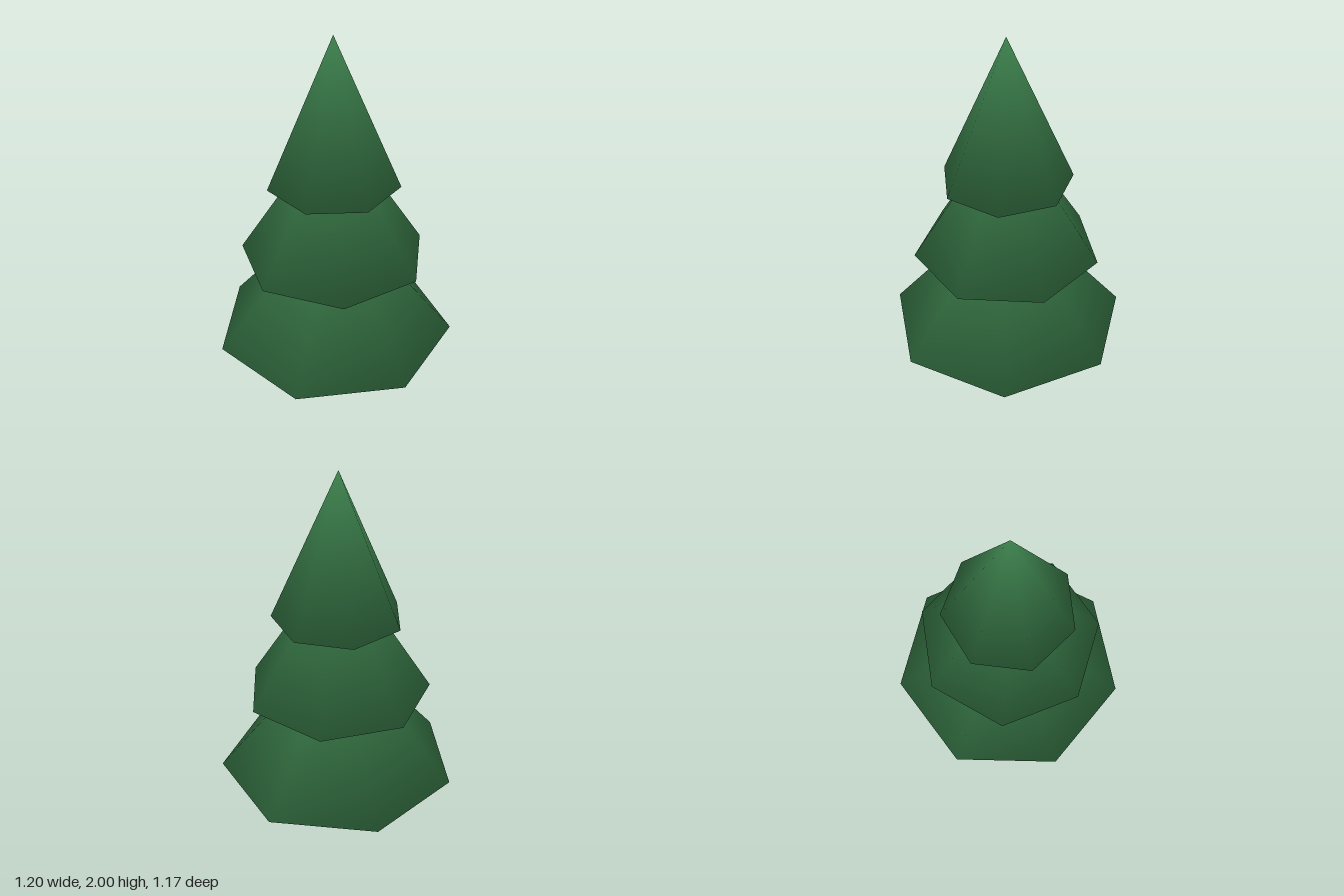
import * as THREE from 'three';
import { mergeVertices } from 'three/addons/utils/BufferGeometryUtils.js';

// Weld a closed solid and give every corner the plain average of its face normals
function softened(geometry) {
  geometry.deleteAttribute('uv');
  geometry.deleteAttribute('normal');
  const g = mergeVertices(geometry, 1e-4);
  g.clearGroups();
  const pos = g.attributes.position;
  const sums = Array.from({ length: pos.count }, () => new THREE.Vector3());
  const tri = new THREE.Triangle();
  const n = new THREE.Vector3();
  for (let i = 0; i < g.index.count; i += 3) {
    const ids = [0, 1, 2].map((k) => g.index.getX(i + k));
    tri.setFromAttributeAndIndices(pos, ...ids);
    tri.getNormal(n);
    ids.forEach((id) => sums[id].add(n));
  }
  const normals = sums.flatMap((v) => v.normalize().toArray());
  g.setAttribute('normal', new THREE.Float32BufferAttribute(normals, 3));
  return g;
}

export function createModel() {
  const tree = new THREE.Group();
  tree.name = 'pineTree';
  const needleGreen = new THREE.MeshStandardMaterial({ name: 'needleGreen', color: 0x3a7d4a });
  const barkBrown = new THREE.MeshStandardMaterial({ name: 'barkBrown', color: 0x8b5a2f });
  const axisZ = 0.03;

  function add(name, geometry, material, y) {
    const mesh = new THREE.Mesh(softened(geometry), material);
    mesh.name = name;
    mesh.position.set(0, y, axisZ);
    tree.add(mesh);
  }

  // Trunk, running a little way into the lowest tier
  const trunkHeight = 0.49;
  add('trunk', new THREE.CylinderGeometry(0.088, 0.088, trunkHeight, 16), barkBrown, trunkHeight / 2);

  // Three seven-sided foliage cones of equal height, each turned a little
  const tierHeight = 0.73;
  const tiers = [
    { name: 'lowerFoliage', radius: 0.613, base: 0.41, turn: Math.PI },
    { name: 'middleFoliage', radius: 0.47, base: 0.86, turn: -0.047 },
    { name: 'upperFoliage', radius: 0.326, base: 1.27, turn: Math.PI - 0.097 },
  ];
  for (const { name, radius, base, turn } of tiers) {
    const cone = new THREE.ConeGeometry(radius, tierHeight, 7).rotateY(turn);
    add(name, cone, needleGreen, base + tierHeight / 2);
  }
  return tree;
}
